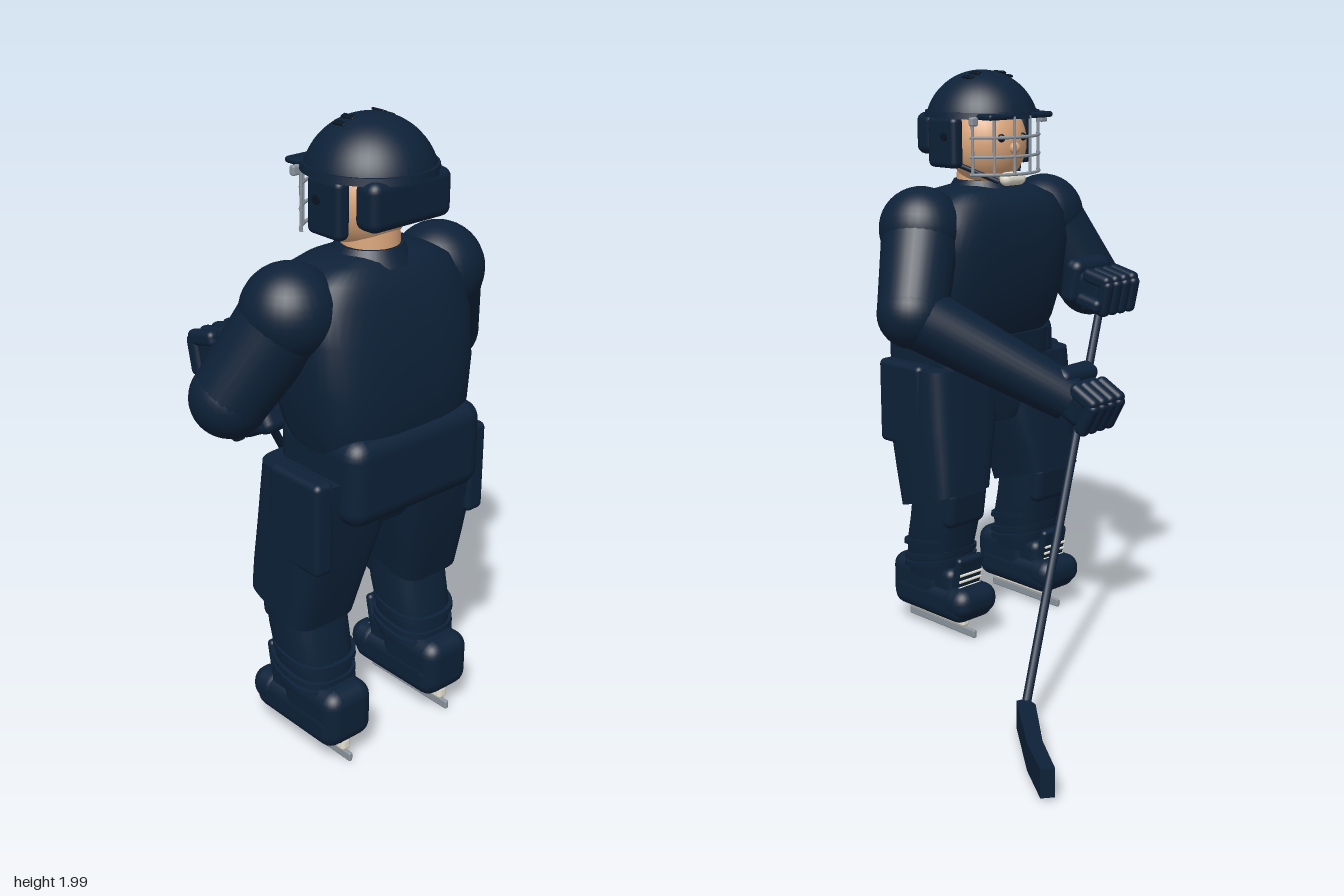
import * as THREE from 'three';
import { RoundedBoxGeometry } from 'three/addons/geometries/RoundedBoxGeometry.js';

const mat = (name, hex, side = THREE.FrontSide) => {
  const m = new THREE.MeshStandardMaterial({ color: hex, side });
  m.name = name;
  return m;
};
const V = (x, y, z) => new THREE.Vector3(x, y, z);

export function createModel() {
  const navy = mat('navy fabric', 0x0d2138);
  const dark = mat('dark detail', 0x081522);
  const skin = mat('skin', 0xdba67c);
  const white = mat('off white', 0xe6e2d3);
  const steel = mat('steel', 0x8b949e);

  const model = new THREE.Group();
  model.name = 'hockeyPlayer';
  const body = new THREE.Group();
  body.name = 'body';
  body.position.x = -0.17;
  model.add(body);

  const add = (parent, name, geo, m, x = 0, y = 0, z = 0) => {
    const mesh = new THREE.Mesh(geo, m);
    mesh.name = name;
    mesh.position.set(x, y, z);
    parent.add(mesh);
    return mesh;
  };
  const box = (parent, name, m, [w, h, d], [x, y, z], r = 0.02) =>
    add(parent, name, new RoundedBoxGeometry(w, h, d, 3, Math.min(r, w / 2.1, h / 2.1, d / 2.1)), m, x, y, z);
  const ball = (parent, name, m, r, x, y, z) =>
    add(parent, name, new THREE.SphereGeometry(r, 32, 20), m, x, y, z);
  // tapered rod from a to b
  const rod = (parent, name, m, a, b, r1, r2 = r1, sides = 24) => {
    const mid = a.clone().add(b).multiplyScalar(0.5);
    const mesh = add(parent, name, new THREE.CylinderGeometry(r2, r1, a.distanceTo(b), sides), m, mid.x, mid.y, mid.z);
    mesh.quaternion.setFromUnitVectors(V(0, 1, 0), b.clone().sub(a).normalize());
    return mesh;
  };
  // rounded cross-sections from bottom to top: [y, xMin, xMax, zFront, zBack, tilt]
  const loft = (sections, power = 3, n = 40) => {
    const pos = [], idx = [], e = 2 / power;
    const bend = (v) => Math.sign(v) * Math.abs(v) ** e;
    for (const [y, x0, x1, z0, z1, tilt = 0] of sections) {
      for (let i = 0; i < n; i++) {
        const a = (i / n) * Math.PI * 2;
        const dz = bend(Math.sin(a)) * (z1 - z0) / 2;
        pos.push((x0 + x1) / 2 + bend(Math.cos(a)) * (x1 - x0) / 2, y + tilt * dz, (z0 + z1) / 2 + dz);
      }
    }
    const rows = sections.length;
    for (let j = 0; j < rows - 1; j++) {
      for (let i = 0; i < n; i++) {
        const a = j * n + i, b = j * n + (i + 1) % n;
        idx.push(a, a + n, b, b, a + n, b + n);
      }
    }
    for (const j of [0, rows - 1]) {
      const c = pos.length / 3, [y, x0, x1, z0, z1] = sections[j];
      const first = c;
      for (let i = 0; i < n; i++) pos.push(...pos.slice((j * n + i) * 3, (j * n + i) * 3 + 3));
      pos.push((x0 + x1) / 2, y, (z0 + z1) / 2);
      for (let i = 0; i < n; i++) {
        const a = first + i, b = first + (i + 1) % n;
        idx.push(...(j ? [a, c + n, b] : [a, b, c + n]));
      }
    }
    const g = new THREE.BufferGeometry();
    g.setAttribute('position', new THREE.Float32BufferAttribute(pos, 3));
    g.setIndex(idx);
    g.computeVertexNormals();
    return g;
  };

  // Torso, collar and padded waist
  add(body, 'torso', loft([
    [1.04, -0.26, 0.26, 0.37, 0.68], [1.12, -0.285, 0.285, 0.33, 0.7], [1.25, -0.305, 0.305, 0.29, 0.7],
    [1.4, -0.315, 0.315, 0.275, 0.675], [1.5, -0.3, 0.3, 0.285, 0.64], [1.56, -0.26, 0.26, 0.31, 0.615],
    [1.595, -0.19, 0.19, 0.35, 0.58], [1.61, -0.1, 0.1, 0.4, 0.55]], 3.4), navy);
  add(body, 'collar', new THREE.CylinderGeometry(0.1, 0.13, 0.05, 32), navy, 0, 1.6, 0.475);
  box(body, 'waistPad', navy, [0.53, 0.28, 0.36], [0, 0.985, 0.54], 0.06);
  add(body, 'pelvis', loft([[0.77, -0.07, 0.07, 0.36, 0.6], [0.86, -0.24, 0.24, 0.345, 0.64],
    [1.08, -0.26, 0.26, 0.34, 0.67]], 4), navy);

  // Legs and skates
  for (const s of [-1, 1]) {
    const leg = new THREE.Group();
    leg.name = s > 0 ? 'leftLeg' : 'rightLeg';
    body.add(leg);
    const side = (rows) => rows.map(([y, a, b, ...rest]) => s > 0 ? [y, a, b, ...rest] : [y, -b, -a, ...rest]);
    add(leg, 'pantLeg', loft(side([[0.515, 0.1, 0.35, 0.31, 0.57, -0.3], [0.62, 0.08, 0.35, 0.315, 0.6, -0.15],
      [0.78, 0.04, 0.35, 0.33, 0.64], [0.99, 0.02, 0.345, 0.35, 0.66]]), 4.5), navy);
    box(leg, 'hipPad', navy, [0.07, 0.3, 0.22], [s * 0.315, 0.855, 0.54], 0.02);
    add(leg, 'shin', loft(side([[0.22, 0.12, 0.31, 0.38, 0.6], [0.33, 0.105, 0.325, 0.37, 0.595],
      [0.43, 0.1, 0.33, 0.345, 0.57], [0.55, 0.1, 0.33, 0.33, 0.55]]), 2.6), navy);
    box(leg, 'kneePad', navy, [0.18, 0.15, 0.08], [s * 0.215, 0.5, 0.365], 0.03).rotation.x = -0.15;
    for (const y of [0.27, 0.3, 0.355]) {
      add(leg, 'shinStrap', loft(side([[y - 0.009, 0.095, 0.335, 0.365, 0.605, -0.2],
        [y + 0.009, 0.095, 0.335, 0.363, 0.603, -0.2]]), 2.6), navy);
    }
    const skate = new THREE.Group();
    skate.name = 'skate';
    skate.position.x = s * 0.213;
    leg.add(skate);
    box(skate, 'boot', navy, [0.185, 0.125, 0.37], [0, 0.137, 0.475], 0.045);
    box(skate, 'ankleCuff', navy, [0.18, 0.19, 0.25], [0, 0.175, 0.545], 0.05);
    box(skate, 'toeCap', navy, [0.19, 0.11, 0.13], [0, 0.148, 0.335], 0.05);
    box(skate, 'instep', navy, [0.15, 0.12, 0.14], [0, 0.205, 0.42], 0.03);
    box(skate, 'tongue', navy, [0.12, 0.15, 0.03], [0, 0.24, 0.345], 0.014).rotation.x = -0.2;
    for (let i = 0; i < 3; i++) {
      rod(skate, 'lace', white, V(-0.05, 0.2 + i * 0.025, 0.334 - i * 0.005),
        V(0.05, 0.2 + i * 0.025, 0.334 - i * 0.005), 0.005, 0.005, 8);
    }
    box(skate, 'bladeHolder', white, [0.035, 0.045, 0.29], [0, 0.06, 0.495], 0.012);
    box(skate, 'skateBlade', steel, [0.014, 0.03, 0.355], [0, 0.022, 0.482], 0.005);
  }

  // Head
  const head = new THREE.Group();
  head.name = 'head';
  body.add(head);
  ball(head, 'face', skin, 0.14, 0, 1.755, 0.45).scale.set(1, 1.1, 0.98);
  add(head, 'neck', new THREE.CylinderGeometry(0.085, 0.09, 0.12, 24), skin, 0, 1.63, 0.48);
  ball(head, 'nose', skin, 0.02, 0, 1.74, 0.312);
  for (const s of [-1, 1]) ball(head, 'eye', dark, 0.014, s * 0.05, 1.775, 0.325);

  // Helmet
  add(head, 'helmetShell', new THREE.SphereGeometry(0.2, 40, 20, 0, Math.PI * 2, 0, 1.318), navy, 0, 1.8, 0.475);
  add(head, 'helmetRim', new THREE.CylinderGeometry(0.196, 0.2, 0.022, 40), navy, 0, 1.852, 0.473).scale.z = 1.03;
  box(head, 'visorBrim', navy, [0.3, 0.02, 0.1], [0, 1.85, 0.322], 0.009);
  box(head, 'backPad', navy, [0.31, 0.145, 0.09], [0, 1.782, 0.613], 0.03);
  for (const s of [-1, 1]) {
    box(head, 'earPad', navy, [0.05, 0.175, 0.14], [s * 0.165, 1.76, 0.482], 0.02);
    add(head, 'earBolt', new THREE.CylinderGeometry(0.014, 0.014, 0.008, 16), dark, s * 0.192, 1.78, 0.46).rotation.z = Math.PI / 2;
    for (const dx of [-0.016, 0.016]) {
      box(head, 'vent', dark, [0.018, 0.008, 0.05], [s * 0.075 + dx, 1.984 - s * dx * 0.4, 0.445], 0.003).rotation.z = -s * 0.39;
    }
    rod(head, 'chinStrap', navy, V(s * 0.155, 1.69, 0.45), V(s * 0.045, 1.625, 0.345), 0.009, 0.009, 10);
    box(head, 'cageClip', steel, [0.03, 0.03, 0.02], [s * 0.165, 1.835, 0.34], 0.006);
  }
  const cup = add(head, 'chinCup', new THREE.CapsuleGeometry(0.024, 0.06, 6, 16), white, 0, 1.635, 0.322);
  cup.rotation.z = Math.PI / 2;

  // Wire face cage
  const cagePoint = (a, y) => V(0.185 * Math.sin(a), y, 0.455 - 0.185 * Math.cos(a));
  for (const y of [1.655, 1.715, 1.78]) {
    const pts = Array.from({ length: 13 }, (_, i) => cagePoint(-1.05 + i * 0.175, y));
    add(head, 'cageBar', new THREE.TubeGeometry(new THREE.CatmullRomCurve3(pts), 30, 0.0055, 8), steel);
  }
  for (const a of [-1, -0.6, -0.2, 0.2, 0.6, 1]) {
    rod(head, 'cageUpright', steel, cagePoint(a, 1.655), cagePoint(a, 1.85), 0.0055, 0.0055, 8);
  }

  // Gloves: fingers lie across the stick
  const glove = (name, x, y, z, rx, ry) => {
    const g = new THREE.Group();
    g.name = name;
    g.position.set(x, y, z);
    g.rotation.set(rx, ry, 0, 'YXZ');
    model.add(g);
    box(g, 'palm', navy, [0.17, 0.13, 0.13], [0, 0, 0.01], 0.035);
    box(g, 'cuff', navy, [0.19, 0.16, 0.075], [0, 0.01, 0.09], 0.03);
    for (let i = 0; i < 4; i++) {
      const fx = -0.069 + i * 0.046;
      box(g, 'fingerBack', navy, [0.043, 0.05, 0.12], [fx, 0.055, -0.02], 0.018);
      box(g, 'fingerTip', navy, [0.043, 0.13, 0.05], [fx, 0, -0.065], 0.018);
    }
    box(g, 'thumb', navy, [0.045, 0.05, 0.11], [x < -0.3 ? 0.09 : -0.09, -0.03, -0.02], 0.02);
  };
  glove('rightGlove', -0.418, 1.24, 0.12, -0.22, 0.04);
  glove('leftGlove', -0.165, 0.9, -0.04, -0.5, 0.08);

  // Arms
  const arm = (name, shoulder, elbow, wrist) => {
    const g = new THREE.Group();
    g.name = name;
    model.add(g);
    ball(g, 'shoulderPad', navy, 0.145, shoulder.x, shoulder.y, shoulder.z);
    rod(g, 'upperArm', navy, shoulder, elbow, 0.135, 0.118, 32);
    ball(g, 'elbow', navy, 0.119, elbow.x, elbow.y, elbow.z);
    rod(g, 'forearm', navy, elbow, wrist, 0.112, 0.082, 32);
  };
  arm('leftArm', V(0.125, 1.475, 0.465), V(0.262, 1.215, 0.36), V(-0.125, 0.92, 0.01));
  arm('rightArm', V(-0.465, 1.475, 0.465), V(-0.602, 1.215, 0.36), V(-0.44, 1.235, 0.19));

  // Stick
  const stick = new THREE.Group();
  stick.name = 'stick';
  model.add(stick);
  rod(stick, 'shaft', navy, V(0.445, 0.07, -0.355), V(-0.46, 1.31, 0.142), 0.015, 0.015, 12);
  const blade = new THREE.Shape([[0.42, -0.34], [0.455, -0.33], [0.63, -0.555], [0.72, -0.7], [0.685, -0.725],
    [0.59, -0.58], [0.43, -0.39]].map(([x, z]) => new THREE.Vector2(x, -z)));
  const bladeMesh = add(stick, 'stickBlade', new THREE.ExtrudeGeometry(blade, { depth: 0.09, bevelEnabled: false }), navy, 0, 0.02, 0);
  bladeMesh.rotation.x = -Math.PI / 2;
  // tape stripes on the striking face
  for (const t of [0.62, 0.77, 0.92]) {
    const stripe = add(stick, 'tapeStripe', new THREE.BoxGeometry(0.024, 0.08, 0.006), white,
      0.43 + t * 0.16, 0.065, -0.39 - t * 0.19);
    stripe.rotation.y = Math.atan2(0.19, 0.16);
  }
  return model;
}
